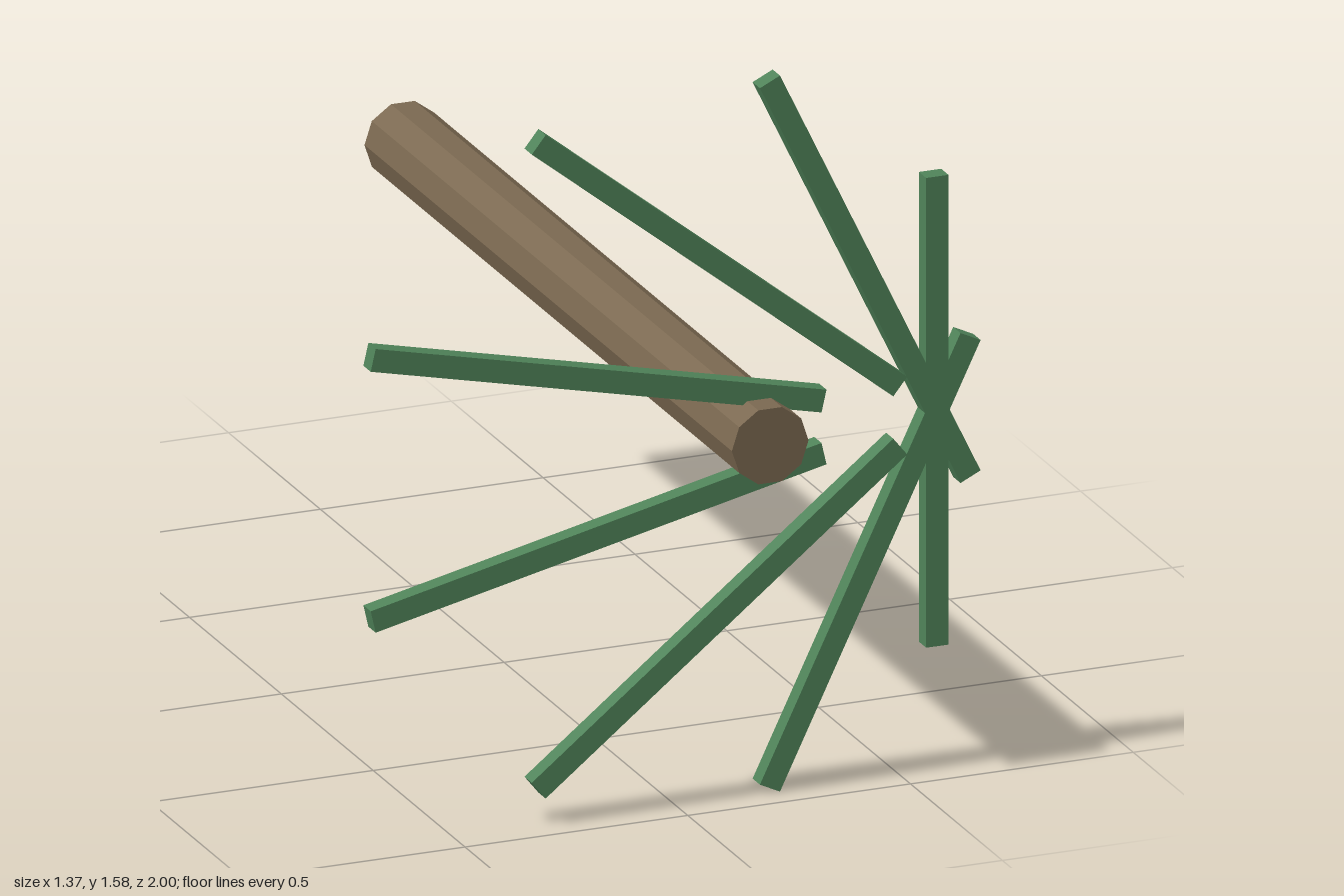
import * as THREE from 'three';

export function createModel() {
  const model = new THREE.Group();
  model.name = 'palmTree';

  const bark = new THREE.MeshStandardMaterial({ color: 0x7a6850, flatShading: true });
  bark.name = 'barkBrown';
  const leaf = new THREE.MeshStandardMaterial({ color: 0x4f8359, flatShading: true });
  leaf.name = 'leafGreen';

  const cx = 0.185, cy = 0.795;

  // ten-sided trunk lying along z, with corners on the x axis
  const trunkGeometry = new THREE.CylinderGeometry(0.086, 0.086, 2, 10);
  trunkGeometry.rotateY(Math.PI / 2);
  trunkGeometry.rotateX(Math.PI / 2);
  const trunk = new THREE.Mesh(trunkGeometry, bark);
  trunk.name = 'trunk';
  trunk.position.set(cx, cy, 0);
  model.add(trunk);

  // seven fronds around a circle, each turned by half its angle
  const count = 7, ring = 0.4;
  const frondGeometry = new THREE.BoxGeometry(0.05, 1.038, 0.04);
  for (let i = 0; i < count; i++) {
    const a = (i / count) * Math.PI * 2;
    const frond = new THREE.Mesh(frondGeometry, leaf);
    frond.name = `frond${i + 1}`;
    frond.position.set(cx + ring * Math.cos(a), cy + ring * Math.sin(a), 0.92);
    frond.rotation.z = a / 2;
    model.add(frond);
  }
  return model;
}
